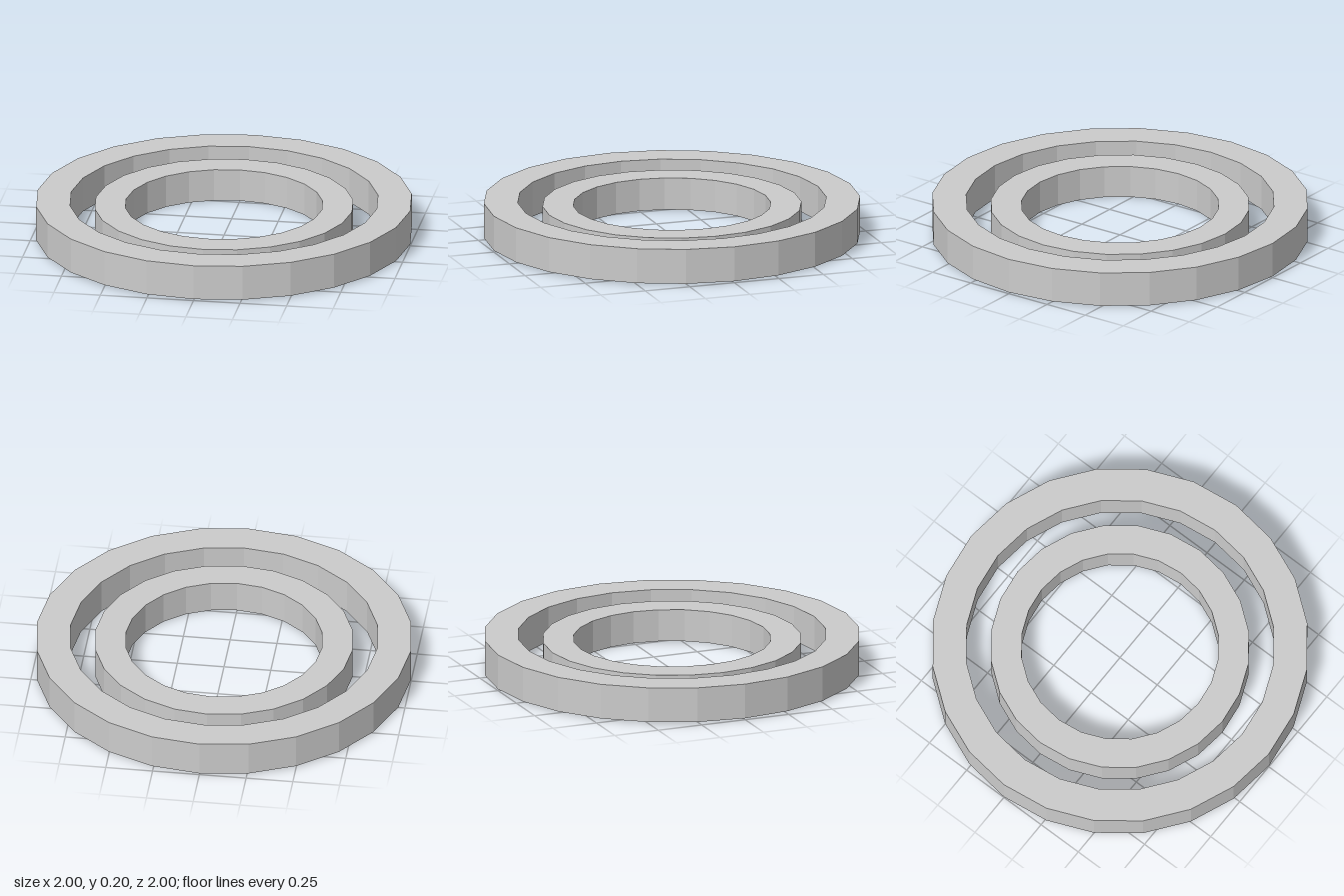
import * as THREE from 'three';

const SIDES = 24;
const material = new THREE.MeshStandardMaterial({ color: 0xcccccc, flatShading: true });

// Flat faceted ring with a rectangular cross-section
function ring(name, innerRadius, outerRadius, bottom, top) {
  const profile = [
    [innerRadius, bottom],
    [outerRadius, bottom],
    [outerRadius, top],
    [innerRadius, top],
    [innerRadius, bottom],
  ].map(([r, y]) => new THREE.Vector2(r, y));
  const geometry = new THREE.LatheGeometry(profile, SIDES).toNonIndexed();
  geometry.computeVertexNormals();
  const mesh = new THREE.Mesh(geometry, material);
  mesh.name = name;
  return mesh;
}

export function createModel() {
  const group = new THREE.Group();
  group.name = 'concentricRings';
  // The inner ring sits slightly lower than the outer one
  group.add(ring('outerRing', 0.82, 1, 0.008, 0.197));
  group.add(ring('innerRing', 0.525, 0.688, 0, 0.174));
  return group;
}
